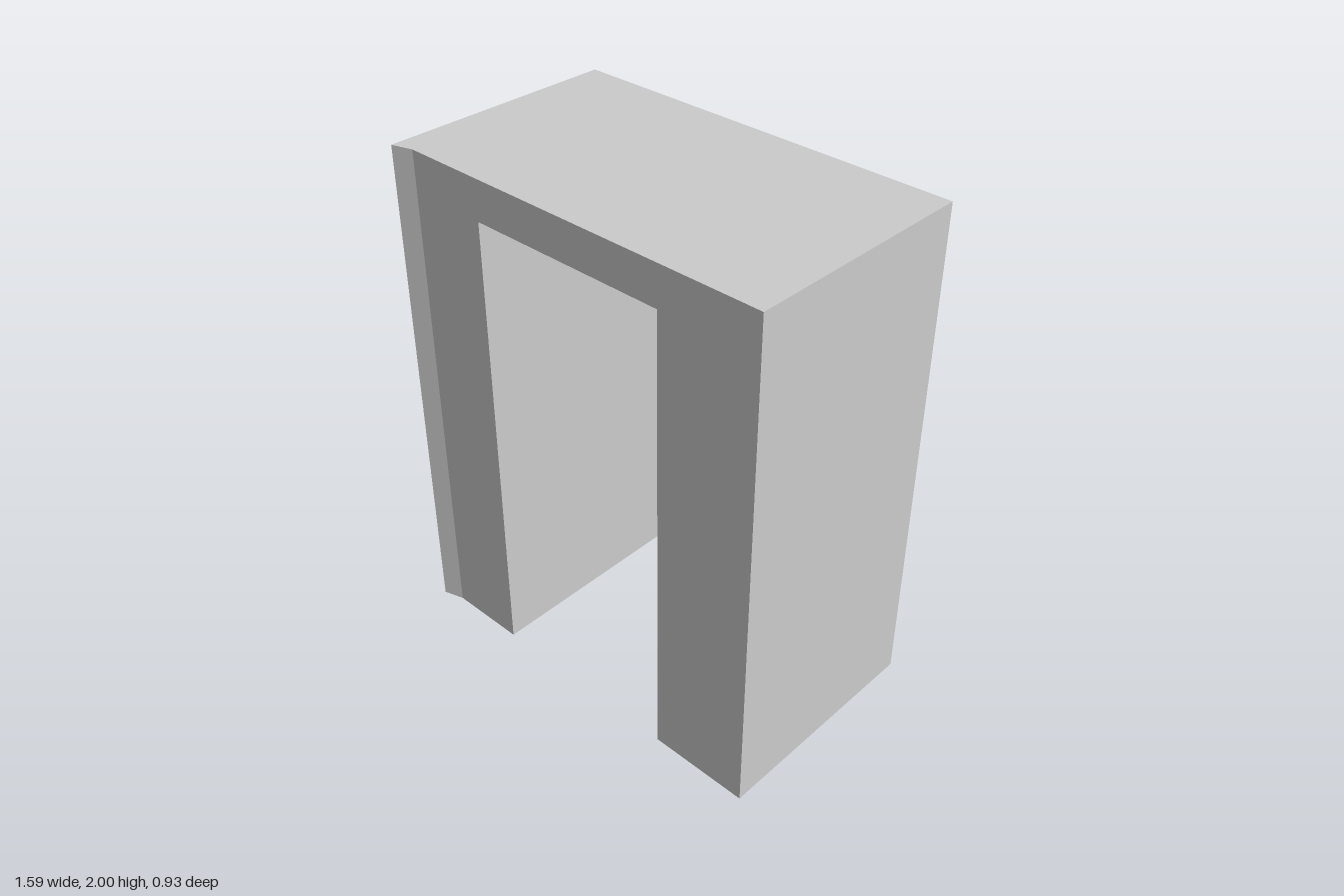
import * as THREE from 'three';

const material = new THREE.MeshStandardMaterial({ color: 0xcccccc, flatShading: true });

// Upright prism from a floor plan of [x, z] corners
function prism(name, plan, bottom, top) {
  const shape = new THREE.Shape(plan.map(([x, z]) => new THREE.Vector2(x, -z)));
  const geometry = new THREE.ExtrudeGeometry(shape, { depth: top - bottom, bevelEnabled: false });
  geometry.rotateX(-Math.PI / 2).translate(0, bottom, 0);
  const mesh = new THREE.Mesh(geometry, material);
  mesh.name = name;
  return mesh;
}

export function createModel() {
  const group = new THREE.Group();
  group.name = 'archway';
  const under = 1.845, front = 0.44, back = -0.465, side = 0.795;

  // Plain leg
  group.add(prism('leftLeg', [
    [0.397, front], [side, front], [side, back], [0.397, back],
  ], 0, under));

  // Leg with a slanted outer face and a flared front corner
  group.add(prism('rightLeg', [
    [-0.4, front], [-0.4, back], [-0.715, back], [-side, 0.465], [-0.715, front],
  ], 0, under));

  // Lintel, overhanging the slanted leg towards the back
  group.add(prism('lintel', [
    [side, front], [side, back], [-0.778, back], [-side, 0.465], [-0.715, front],
  ], under, 2));

  return group;
}
